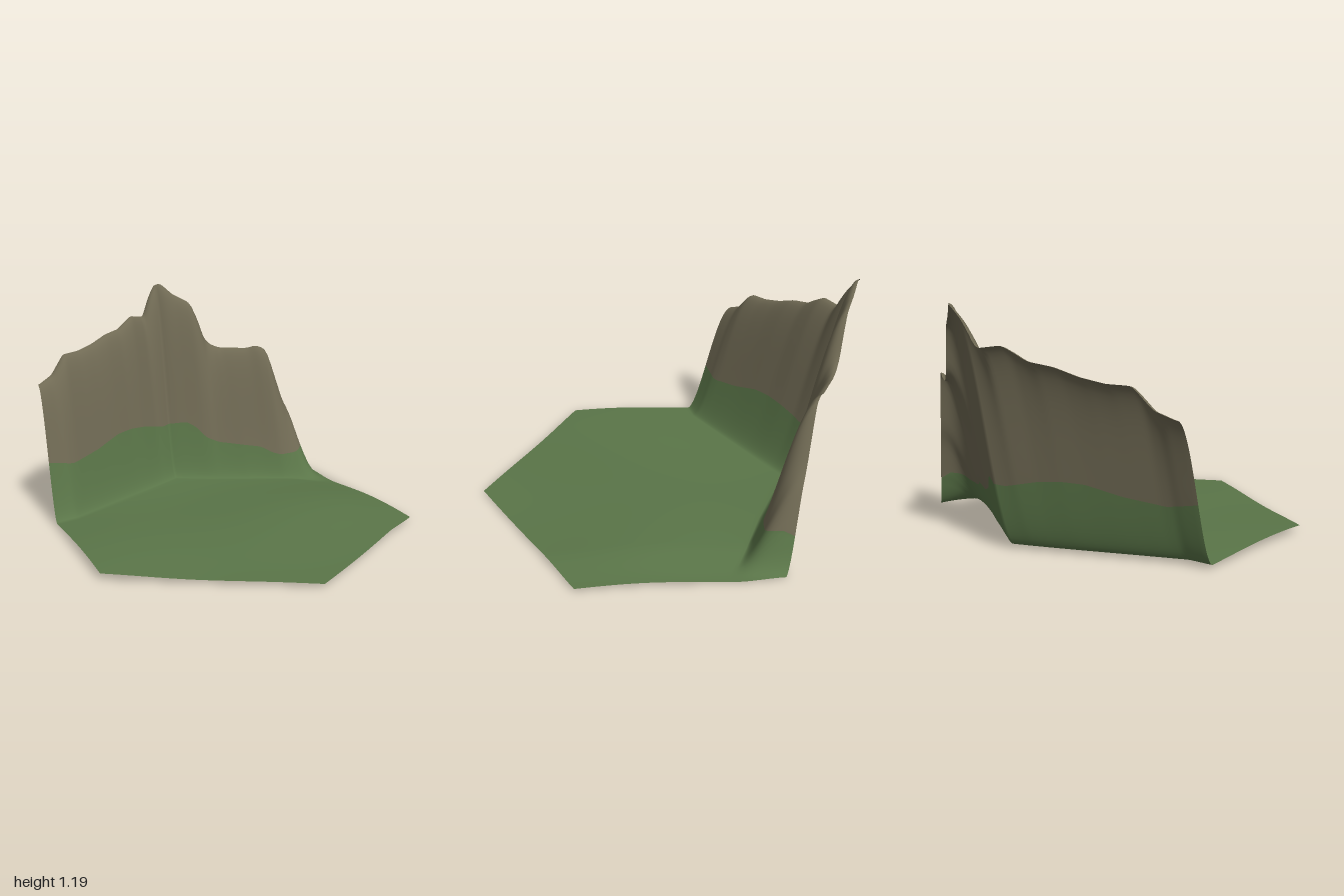
import * as THREE from 'three';

const HALF = 0.866;                 // half width of the hexagon
const COLS = 140;
const STRIPS = [44, 12, 16];        // rows in meadow, grassy slope, rock face

// Curves along x, as [x, value] pairs
const CREST = [
  [-0.866, 0.72], [-0.78, 0.76], [-0.7, 0.86], [-0.6, 0.865], [-0.5, 0.89], [-0.4, 0.93],
  [-0.3, 0.95], [-0.25, 0.985], [-0.2, 1.015], [-0.1, 1.0], [-0.07, 1.07], [-0.04, 1.13],
  [0, 1.185], [0.035, 1.195], [0.1, 1.13], [0.19, 1.08], [0.23, 0.98], [0.26, 0.87], [0.3, 0.82],
  [0.35, 0.8], [0.5, 0.798], [0.55, 0.815], [0.6, 0.795], [0.64, 0.65], [0.68, 0.5],
  [0.72, 0.41], [0.76, 0.26], [0.8, 0.11], [0.835, 0.035], [0.866, 0.015],
];
const GRASS_LINE = [
  [-0.866, 0.33], [-0.72, 0.3], [-0.55, 0.33], [-0.4, 0.375], [-0.3, 0.38], [-0.2, 0.37],
  [-0.05, 0.335], [0.1, 0.355], [0.15, 0.325], [0.2, 0.265], [0.27, 0.235], [0.5, 0.21],
  [0.55, 0.18], [0.6, 0.165], [0.7, 0.175], [0.76, 0.21], [0.866, 0.25],
];
const CLIFF_DEPTH = [[-0.866, 0.265], [-0.75, 0.31], [0, 0.33], [0.4, 0.31], [0.65, 0.28], [0.866, 0.27]];

function lerpAt(points, x) {
  if (x <= points[0][0]) return points[0][1];
  for (let i = 1; i < points.length; i++) {
    const [x0, y0] = points[i - 1], [x1, y1] = points[i];
    if (x <= x1) return y0 + (y1 - y0) * (x - x0) / (x1 - x0);
  }
  return points[points.length - 1][1];
}
// Slightly rounded version of a curve
const curve = (points, x) =>
  (lerpAt(points, x - 0.01) + lerpAt(points, x) + lerpAt(points, x + 0.01)) / 3;

// Gentle undulation of the ground
function ground(x, z) {
  return 0.034 + 0.012 * Math.cos(4.5 * (z - 0.25)) + 0.003 * Math.sin(7 * x + 3 * z)
    - 0.021 * THREE.MathUtils.smoothstep(x, 0.6, 0.87)
    + 0.018 * Math.exp(-8 * ((x - 0.58) ** 2 + (z - 0.1) ** 2));
}

// One column of the terrain, from the front edge to the back edge
function column(x) {
  const edge = 1 - Math.abs(x) * 0.5 / HALF;
  const depth = curve(CLIFF_DEPTH, x);
  const crest = curve(CREST, x);
  const power = 2 - 0.3 * Math.min(1, Math.abs(x) / 0.6);
  const foot = -edge + depth;
  const base = ground(x, foot);
  const rise = (curve(GRASS_LINE, x) - base) / Math.max(crest - base, 0.001);
  // Part of the cliff depth that is still grassy
  const grassy = rise >= 1 ? 1 : Math.asin(Math.pow(rise, 1 / power)) * 2 / Math.PI;
  const stops = [edge, foot, foot - depth * grassy, -edge];
  const points = [];
  STRIPS.forEach((rows, s) => {
    for (let r = s ? 1 : 0; r <= rows; r++) {
      const z = THREE.MathUtils.lerp(stops[s], stops[s + 1], r / rows);
      const t = THREE.MathUtils.clamp((foot - z) / depth, 0, 1);
      const f = Math.pow(Math.sin(t * Math.PI / 2), power);
      const g = ground(x, z);
      points.push(x, Math.max(0, g + (crest - g) * f), z);
    }
  });
  return points;
}

export function createModel() {
  const grass = new THREE.MeshStandardMaterial({ color: 0x5a7548, side: THREE.DoubleSide });
  grass.name = 'grass green';
  const rock = new THREE.MeshStandardMaterial({ color: 0x706a54, side: THREE.DoubleSide });
  rock.name = 'rock brown';

  const positions = [];
  for (let i = 0; i <= COLS; i++) positions.push(...column(-HALF + 2 * HALF * i / COLS));

  const rows = STRIPS.reduce((a, b) => a + b, 0);
  const index = [];
  for (let r = 0; r < rows; r++) {
    for (let i = 0; i < COLS; i++) {
      const a = i * (rows + 1) + r, b = a + rows + 1;
      index.push(a, b, b + 1, a, b + 1, a + 1);
    }
  }

  // Single smooth sheet: meadow and slope in grass, upper cliff in rock
  const geometry = new THREE.BufferGeometry();
  geometry.setAttribute('position', new THREE.Float32BufferAttribute(positions, 3));
  geometry.setIndex(index);
  geometry.computeVertexNormals();
  const split = (STRIPS[0] + STRIPS[1]) * COLS * 6;
  geometry.addGroup(0, split, 0);
  geometry.addGroup(split, index.length - split, 1);

  const terrain = new THREE.Mesh(geometry, [grass, rock]);
  terrain.name = 'hexTerrainWithCliff';
  const group = new THREE.Group();
  group.name = 'terrainTile';
  group.add(terrain);
  return group;
}
